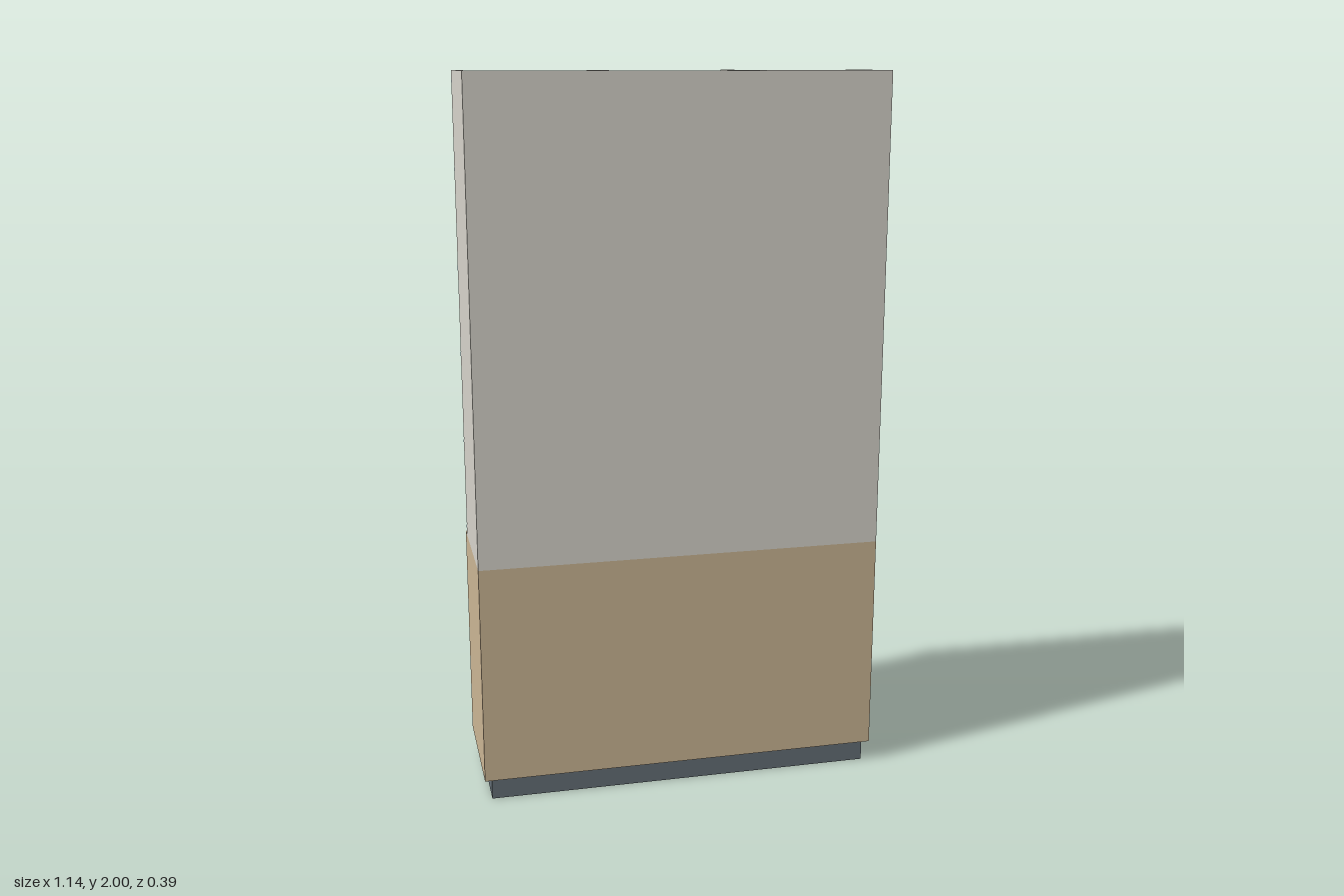
import * as THREE from 'three';

const mat = (name, color) => {
  const m = new THREE.MeshStandardMaterial({ color });
  m.name = name;
  return m;
};

export function createModel() {
  const root = new THREE.Group();
  root.name = 'displayCabinet';
  const panel = mat('pale panel', 0xd6d3ca);
  const wood = mat('light wood', 0xcbb594);
  const dark = mat('plinth grey', 0x646e76);
  const blue = mat('shelf blue', 0x6a9ab5);
  const metal = mat('handle metal', 0xa4a9ad);
  const goods = {
    w: mat('carton white', 0xdedcd6), b: blue,
    r: mat('red', 0xb8423f), g: mat('green', 0x5f9f7a),
    o: mat('orange', 0xd0913f), p: mat('purple', 0x8a7bad),
  };

  const add = (parent, name, geometry, material, x, y, z) => {
    const mesh = new THREE.Mesh(geometry, material);
    mesh.name = name;
    mesh.position.set(x, y, z);
    parent.add(mesh);
    return mesh;
  };
  // Box given by its limits along each axis
  const block = (parent, name, material, x0, x1, y0, y1, z0, z1) =>
    add(parent, name, new THREE.BoxGeometry(x1 - x0, y1 - y0, z1 - z0), material,
      (x0 + x1) / 2, (y0 + y1) / 2, (z0 + z1) / 2);
  const group = (name) => {
    const g = new THREE.Group();
    g.name = name;
    root.add(g);
    return g;
  };

  // Lower cupboard with plinth, three doors and upright handles
  const base = group('baseCupboard');
  block(base, 'plinth', dark, -0.55, 0.55, 0, 0.06, -0.13, 0.185);
  block(base, 'cupboardBody', wood, -0.57, 0.57, 0.06, 0.685, -0.165, 0.195);
  for (let i = 0; i < 3; i++) {
    const x = (i - 1) * 0.38;
    block(base, 'door', wood, x - 0.186, x + 0.186, 0.067, 0.675, -0.183, -0.165);
    block(base, 'handle', metal, x + 0.146, x + 0.156, 0.53, 0.62, -0.198, -0.19);
    for (const y of [0.54, 0.61]) {
      block(base, 'handlePost', metal, x + 0.147, x + 0.155, y - 0.005, y + 0.005, -0.19, -0.183);
    }
  }

  // Upper case: sides, dividers and back panel
  const upper = group('upperCase');
  for (const x of [-0.56, -0.19, 0.19, 0.56]) {
    const front = Math.abs(x) > 0.5 ? -0.123 : -0.121;
    block(upper, 'upright', panel, x - 0.01, x + 0.01, 0.685, 2, front, 0.185);
  }
  block(upper, 'backPanel', panel, -0.57, 0.57, 0.685, 2, 0.185, 0.195);

  // Shelves with blue price rails and small tags
  const shelfY = (i) => 0.7 + i * 0.2565;
  for (let i = 0; i < 6; i++) {
    const y = shelfY(i);
    for (const x of [-0.375, 0, 0.375]) {
      const half = x ? 0.175 : 0.18;
      block(upper, 'shelf', panel, x - half, x + half, y - 0.01, y + 0.008, -0.122, 0.185);
    }
    block(upper, 'priceRail', blue, -0.57, 0.57, y - 0.015, y + 0.015, -0.129, -0.123);
    for (let k = 0; k < 6; k++) {
      const x = -0.475 + k * 0.19;
      block(upper, 'priceTag', panel, x - 0.024, x + 0.024, y - 0.011, y + 0.011, -0.131, -0.129);
    }
  }

  // Goods per shelf from the top, bays from +x to -x: colour and height in hundredths
  const stock = [
    ['box w11 g11 r13 b14', 'jar r15 r08 r13 w12', 'box p13 w14 w07 w11'],
    ['jar g14 o10 r13 r12', 'box w08 b09 b13 w10', 'jar w12 w17 w14 w13'],
    ['box p08 g10 b16 o08', 'jar w15 g12 w16 b12', 'box p19 p17 g08 r06'],
    ['jar o10 w18 w17 r12', 'box p09 p14 w08 w12', 'jar r15 w13 w14 b12'],
    ['box w13 p09 w12 o07', 'jar w14 o16 w08 b12', 'box w08 o15 g18 w10'],
  ];
  const items = group('goods');
  stock.forEach((bays, row) => {
    const y = shelfY(4 - row) + 0.008;
    bays.forEach((text, bay) => {
      const [kind, ...codes] = text.split(' ');
      codes.forEach((code, i) => {
        const colour = goods[code[0]];
        const h = Number(code.slice(1)) / 100;
        const x = (1 - bay) * 0.378 + 0.105 - i * 0.079;
        const vary = ((row * 5 + bay * 3 + i * 7) % 4) / 4;
        if (kind === 'box') {
          const z = -0.085 + vary * 0.025;
          const w = 0.034 + vary * 0.004;
          block(items, 'carton', colour, x - w, x + w, y, y + h, z, z + 0.07 + vary * 0.03);
        } else {
          // Jar with a pale body and a coloured lid
          const r = h < 0.09 ? 0.037 : 0.026 + vary * 0.007;
          const z = -0.05 + (i % 2) * 0.03;
          add(items, 'jar', new THREE.CylinderGeometry(r, r, h - 0.02, 16), goods.w, x, y + h / 2 - 0.01, z);
          add(items, 'lid', new THREE.CylinderGeometry(r + 0.003, r + 0.003, 0.02, 16), colour, x, y + h - 0.01, z);
        }
      });
    });
  });
  return root;
}
